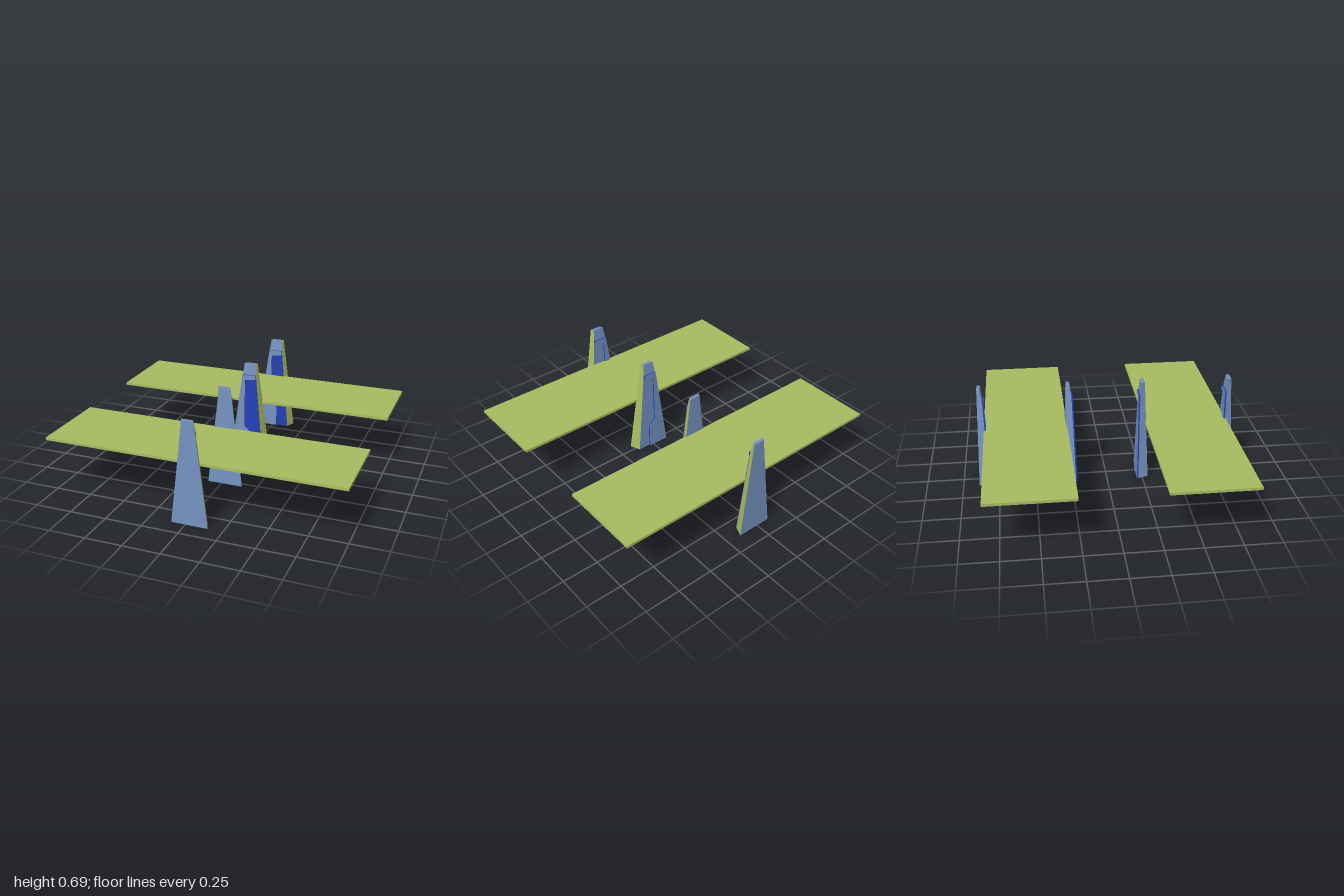
import * as THREE from 'three';

const paint = (color) => new THREE.MeshStandardMaterial({ color, flatShading: true });
const steel = paint(0x7592c0), green = paint(0xa9bc62), blue = paint(0x2440b4);

const HEIGHT = 0.69, KNEE = 0.61;
const lerp = THREE.MathUtils.lerp;
// depth of the post's inner face at height y, up to the knee and beyond
const innerZ = (y) => y <= KNEE ? lerp(0.82, 0.835, y / KNEE)
  : lerp(0.835, 0.845, (y - KNEE) / (HEIGHT - KNEE));

// moves every vertex by a rule; side -1 mirrors the result front to back
function bend(source, rule, side) {
  const geo = source.index ? source.toNonIndexed() : source;
  const pos = geo.attributes.position;
  const v = new THREE.Vector3();
  const points = [];
  for (let i = 0; i < pos.count; i++) {
    rule(v.fromBufferAttribute(pos, i));
    points.push(new THREE.Vector3(v.x, v.y, v.z * side));
  }
  for (let i = 0; i < pos.count; i += 3) {
    const order = side < 0 ? [2, 1, 0] : [0, 1, 2];
    order.forEach((k, j) => pos.setXYZ(i + j, points[i + k].x, points[i + k].y, points[i + k].z));
  }
  geo.computeVertexNormals();
  return geo;
}

function part(name, geometry, material) {
  const mesh = new THREE.Mesh(geometry, material);
  mesh.name = name;
  return mesh;
}

// thin plate lying on the inner face of a post
function plate(outline, thickness, side) {
  const shape = new THREE.Shape(outline.map(([x, y]) => new THREE.Vector2(x, y)));
  const geo = new THREE.ExtrudeGeometry(shape, { depth: thickness, bevelEnabled: false });
  return bend(geo, (v) => { v.z += innerZ(v.y) - thickness; }, side);
}

function post(side) {
  const group = new THREE.Group();
  group.name = 'post';

  // tapered, skewed body with one green side
  const body = bend(new THREE.BoxGeometry(2, 2, 2, 1, 2, 1), (v) => {
    const outer = v.z > 0, right = v.x > 0;
    v.y = v.y < -0.5 ? 0 : v.y > 0.5 ? HEIGHT : KNEE;
    const t = v.y / HEIGHT;
    if (outer) v.x = right ? lerp(0.15, 0.06, t) : lerp(-0.095, -0.018, t);
    else v.x = right ? lerp(0.12, 0.05, t) : lerp(-0.12, -0.03, t);
    v.z = outer ? lerp(0.89, 0.868, t) : innerZ(v.y);
  }, side);
  group.add(part('postBody', body, [green, steel, steel, steel, steel, steel]));

  // raised stepped facing with blue edges
  const facing = [[-0.12, 0], [0.03, 0], [0.03, 0.18], [-0.02, 0.22],
    [-0.02, 0.57], [0.058, 0.58], [0.058, KNEE], [-0.04, KNEE]];
  group.add(part('steppedFacing', plate(facing, 0.01, side), [steel, blue]));

  // blue inset panel on the rear pair
  if (side < 0) {
    const inset = [[0.03, 0], [0.12, 0], [0.061, 0.58], [-0.02, 0.57], [-0.02, 0.22], [0.03, 0.18]];
    group.add(part('insetPanel', plate(inset, 0.003, side), blue));
  }
  return group;
}

export function createModel() {
  const model = new THREE.Group();
  model.name = 'boardsOnPosts';
  for (const side of [1, -1]) {
    const row = new THREE.Group();
    row.name = side > 0 ? 'frontRow' : 'backRow';

    const board = part('board', new THREE.BoxGeometry(2, 0.018, 0.565), green);
    board.position.set(0, 0.4, side * 0.5525);
    row.add(board);

    const outerPost = post(side);
    // front inner post keeps the same facing as the outer one
    const innerPost = post(side);
    innerPost.position.z = -0.6 * side;
    row.add(outerPost, innerPost);
    model.add(row);
  }
  return model;
}
